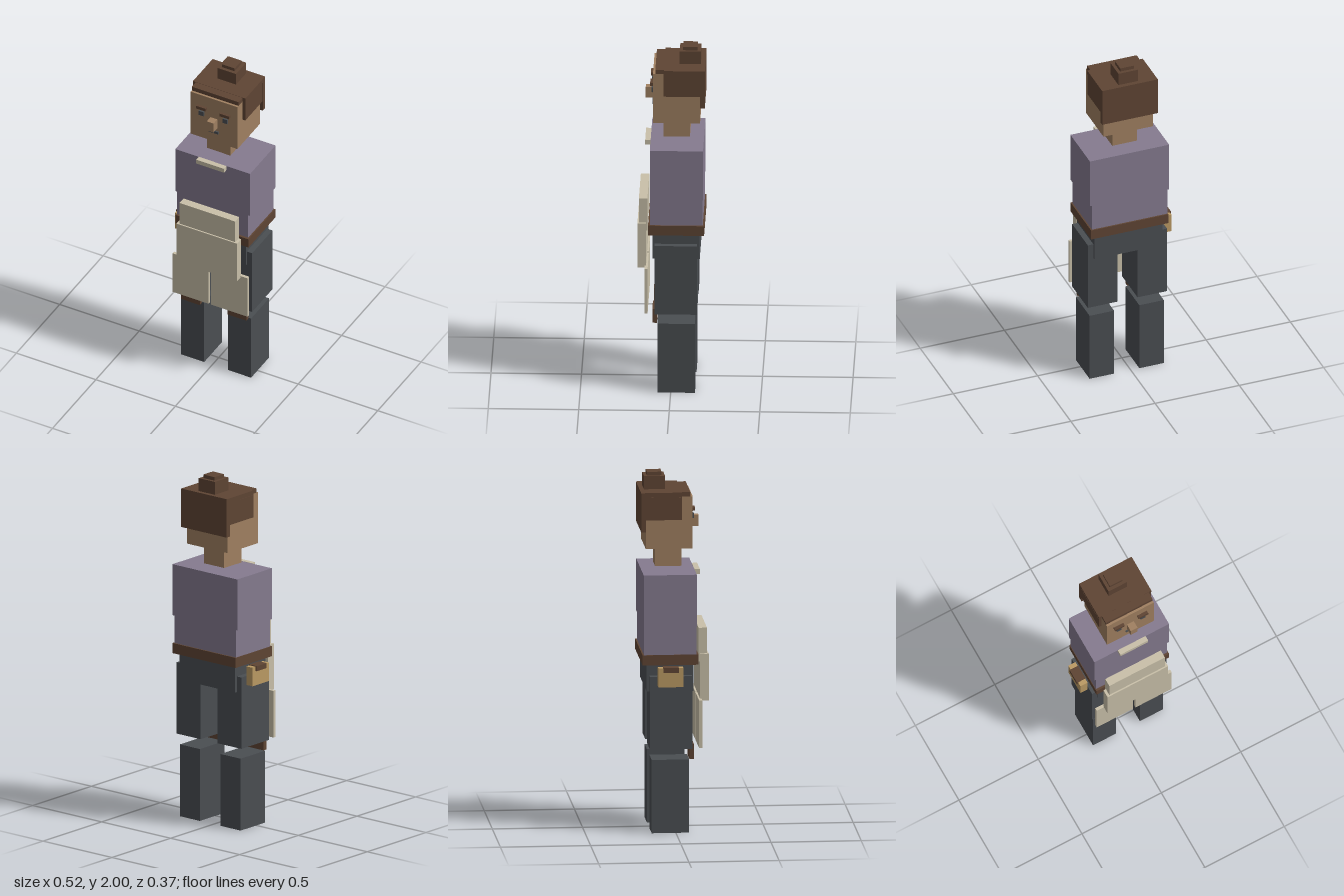
import * as THREE from 'three';

const mat = (name, color) => {
  const m = new THREE.MeshStandardMaterial({ color });
  m.name = name;
  return m;
};

export function createModel() {
  const skin = mat('skin', 0xa08061);
  const brown = mat('brown', 0x5f4534);
  const purple = mat('purple cloth', 0x857b8f);
  const linen = mat('linen', 0xc9c0a9);
  const slate = mat('slate', 0x4a4e52);
  const tan = mat('tan leather', 0xbb9a64);

  const model = new THREE.Group();
  model.name = 'figure';

  const group = (name) => {
    const g = new THREE.Group();
    g.name = name;
    model.add(g);
    return g;
  };
  // Box given by its [min, max] extent on each axis
  const box = (parent, name, material, [x0, x1], [y0, y1], [z0, z1]) => {
    const mesh = new THREE.Mesh(new THREE.BoxGeometry(x1 - x0, y1 - y0, z1 - z0), material);
    mesh.position.set((x0 + x1) / 2, (y0 + y1) / 2, (z0 + z1) / 2);
    mesh.name = name;
    parent.add(mesh);
  };
  // Two boxes mirrored about the body's middle plane
  const MID = 0.024;
  const pair = (parent, name, material, [near, far], y, z) => {
    box(parent, name + 'Left', material, [MID + near, MID + far], y, z);
    box(parent, name + 'Right', material, [MID - far, MID - near], y, z);
  };

  // Head and face
  const head = group('head');
  box(head, 'skull', skin, [-0.122, 0.172], [1.587, 1.88], [-0.16, 0.1]);
  box(head, 'neck', skin, [-0.05, 0.097], [1.475, 1.587], [-0.102, 0.043]);
  box(head, 'nose', skin, [0.003, 0.046], [1.686, 1.748], [0.1, 0.144]);
  box(head, 'mouth', slate, [-0.007, 0.055], [1.65, 1.665], [0.1, 0.107]);
  pair(head, 'eye', slate, [0.06, 0.09], [1.746, 1.774], [0.1, 0.111]);
  pair(head, 'brow', brown, [0.044, 0.104], [1.79, 1.808], [0.1, 0.117]);

  // Hair with bun
  const hair = group('hair');
  box(hair, 'hairFront', brown, [-0.122, 0.172], [1.88, 1.905], [0.03, 0.087]);
  box(hair, 'hairTop', brown, [-0.14, 0.19], [1.88, 1.906], [-0.187, 0.04]);
  pair(hair, 'hairSide', brown, [0.147, 0.165], [1.752, 1.88], [-0.16, 0.04]);
  box(hair, 'hairBack', brown, [-0.14, 0.19], [1.685, 1.88], [-0.187, -0.16]);
  box(hair, 'bun', brown, [-0.033, 0.084], [1.906, 1.98], [-0.162, -0.045]);
  box(hair, 'bunTop', brown, [-0.015, 0.066], [1.98, 2], [-0.144, -0.063]);

  // Shirt and belt
  const torso = group('torso');
  box(torso, 'chest', purple, [-0.21, 0.26], [1.163, 1.456], [-0.179, 0.115]);
  box(torso, 'waist', purple, [-0.2, 0.247], [1.0, 1.163], [-0.177, 0.113]);
  box(torso, 'collar', linen, [-0.063, 0.112], [1.43, 1.457], [0.115, 0.145]);
  box(torso, 'belt', brown, [-0.203, 0.255], [0.947, 1.005], [-0.185, 0.125]);

  // Apron
  const apron = group('apron');
  box(apron, 'apronBib', linen, [-0.15, 0.2], [0.953, 1.144], [0.13, 0.177]);
  box(apron, 'apronFront', linen, [-0.165, 0.216], [0.737, 1.0], [0.137, 0.185]);
  pair(apron, 'apronFlap', linen, [0.008, 0.236], [0.48, 0.748], [0.127, 0.145]);

  // Trousers and legs
  const legs = group('legs');
  box(legs, 'hips', slate, [-0.178, 0.226], [0.795, 0.947], [-0.16, 0.1]);
  pair(legs, 'thigh', slate, [0.06, 0.235], [0.475, 0.885], [-0.145, 0.09]);
  pair(legs, 'kneePatch', brown, [0.087, 0.206], [0.412, 0.495], [0.076, 0.102]);
  pair(legs, 'lowerLeg', slate, [0.075, 0.22], [0, 0.413], [-0.134, 0.074]);

  // Belt pouch on the right hip
  const pouch = group('pouch');
  box(pouch, 'pouchBody', tan, [-0.255, -0.21], [0.833, 0.94], [-0.102, 0.037]);
  box(pouch, 'pouchFlap', brown, [-0.262, -0.208], [0.915, 0.944], [-0.075, 0.01]);

  return model;
}
